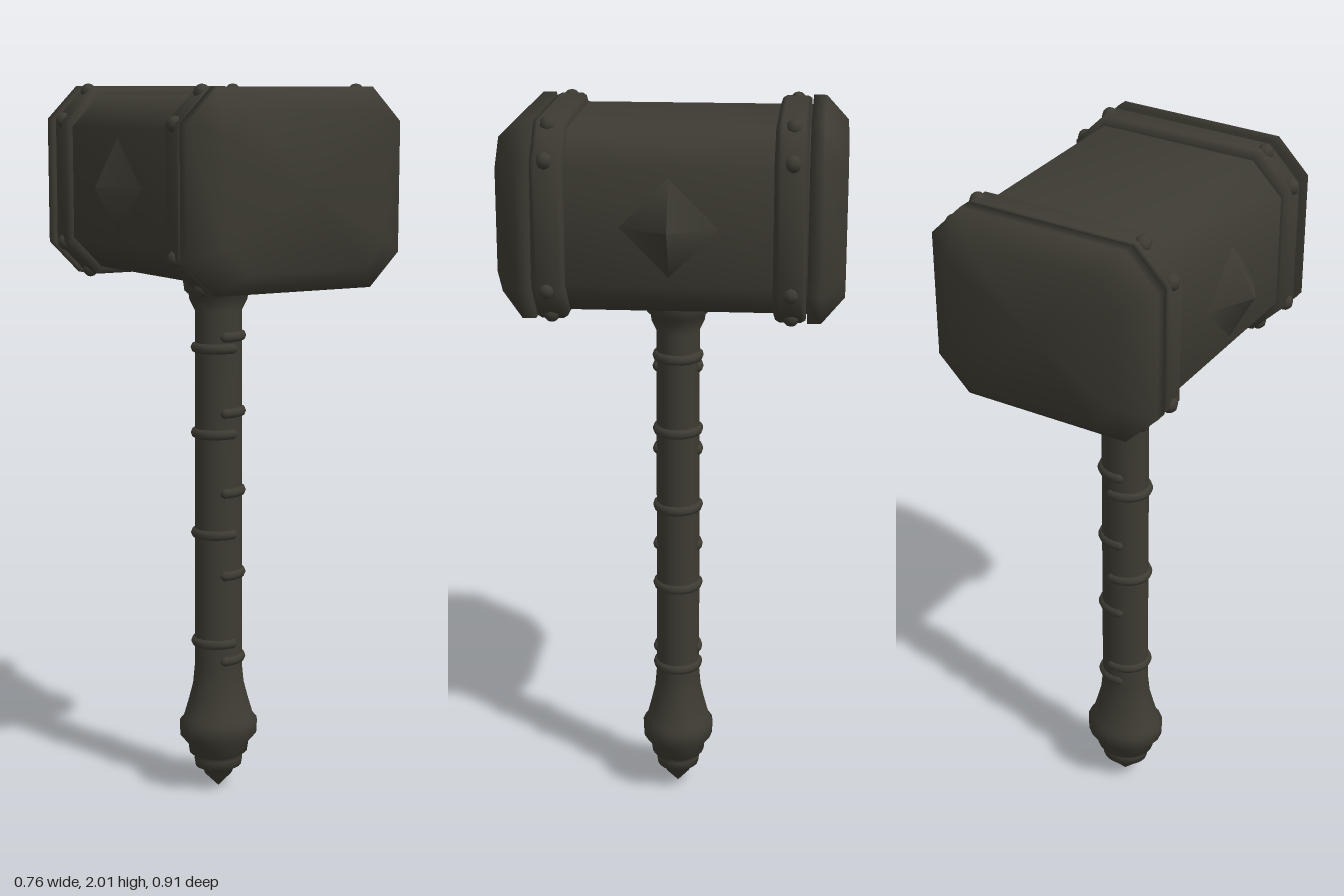
import * as THREE from 'three';

const HEAD_Y = 1.737;

// Chamfered-rectangle outline, counter-clockwise seen from +z
function outline(w, h, c) {
  return [[w, -h + c], [w, h - c], [w - c, h], [-w + c, h],
    [-w, h - c], [-w, -h + c], [-w + c, -h], [w - c, -h]];
}

// Smooth loft along z through sections [z, halfWidth, halfHeight, chamfer]
function loft(sections, closed) {
  const pos = [], idx = [], n = 8;
  for (const [z, w, h, c] of sections) for (const [x, y] of outline(w, h, c)) pos.push(x, y, z);
  for (let s = 0; s < sections.length - 1; s++) {
    for (let i = 0; i < n; i++) {
      const a = s * n + i, b = s * n + (i + 1) % n;
      idx.push(a, b, b + n, a, b + n, a + n);
    }
  }
  if (closed) {
    const last = (sections.length - 1) * n;
    pos.push(0, 0, sections[0][0], 0, 0, sections[sections.length - 1][0]);
    for (let i = 0; i < n; i++) {
      const j = (i + 1) % n;
      idx.push(last + n, j, i, last + n + 1, last + i, last + j);
    }
  }
  const g = new THREE.BufferGeometry();
  g.setAttribute('position', new THREE.Float32BufferAttribute(pos, 3));
  g.setIndex(idx);
  g.computeVertexNormals();
  return g;
}

export function createModel() {
  const iron = new THREE.MeshStandardMaterial({ color: 0x3d3b32 });
  iron.name = 'darkIron';
  const model = new THREE.Group();
  model.name = 'warHammer';

  const add = (parent, name, geometry, x = 0, y = 0, z = 0) => {
    const mesh = new THREE.Mesh(geometry, iron);
    mesh.name = name;
    mesh.position.set(x, y, z);
    parent.add(mesh);
    return mesh;
  };

  // Head
  const head = new THREE.Group();
  head.name = 'head';
  head.position.y = HEAD_Y;
  model.add(head);
  add(head, 'headCore', loft([[-0.37, 0.31, 0.238, 0.085], [0.37, 0.31, 0.238, 0.085]], false));

  // Striking end and riveted band, repeated front and back
  const capGeo = loft([[0.356, 0.325, 0.262, 0.09], [0.392, 0.325, 0.262, 0.09],
    [0.453, 0.245, 0.205, 0.07]], true);
  const bandGeo = loft([[0.266, 0.308, 0.236, 0.084], [0.272, 0.318, 0.254, 0.088],
    [0.283, 0.325, 0.26, 0.09], [0.34, 0.325, 0.26, 0.09], [0.352, 0.318, 0.254, 0.088]], true);
  const rivetGeo = new THREE.SphereGeometry(0.023, 8, 6);
  for (const side of [1, -1]) {
    const end = new THREE.Group();
    end.name = side > 0 ? 'frontEnd' : 'backEnd';
    if (side < 0) end.rotation.y = Math.PI;
    head.add(end);
    add(end, 'strikingCap', capGeo);
    add(end, 'band', bandGeo);
    for (const sx of [1, -1]) {
      for (const sy of [1, -1]) {
        add(end, 'rivet', rivetGeo, sx * 0.236, sy * 0.247, 0.314);
        add(end, 'rivet', rivetGeo, sx * 0.314, sy * 0.168, 0.314);
      }
    }
  }

  // Diamond stud on each side of the head
  const studGeo = new THREE.ConeGeometry(0.128, 0.068, 4);
  for (const side of [1, -1]) {
    const stud = add(head, side > 0 ? 'leftStud' : 'rightStud', studGeo, side * 0.346, 0, 0);
    stud.rotation.z = -side * Math.PI / 2;
  }

  // Handle with pommel and collar, slightly oval
  const profile = [[0, 0], [0.04, 0.04], [0.046, 0.055], [0.068, 0.066], [0.072, 0.09],
    [0.066, 0.1], [0.086, 0.108], [0.09, 0.135], [0.114, 0.162], [0.116, 0.2],
    [0.103, 0.215], [0.088, 0.265], [0.076, 0.31], [0.07, 0.37], [0.068, 1.39],
    [0.084, 1.42], [0.086, 1.435], [0.098, 1.445], [0.102, 1.47], [0.1, 1.51]]
    .map(([r, y]) => new THREE.Vector2(r, y));
  const handle = new THREE.Group();
  handle.name = 'handle';
  handle.scale.z = 0.88;
  model.add(handle);
  add(handle, 'shaft', new THREE.LatheGeometry(profile, 20));

  // Half rings wrapped alternately around the left and right of the shaft
  const tube = 0.015, ringR = 0.065, half = 1.75;
  const arcGeo = new THREE.TorusGeometry(ringR, tube, 8, 20, half * 2);
  arcGeo.rotateZ(-half).rotateX(Math.PI / 2);
  const tipGeo = new THREE.SphereGeometry(tube, 8, 6);
  const wrap = (y, turn) => {
    const ring = new THREE.Group();
    ring.name = 'gripRing';
    ring.position.y = y;
    ring.rotation.y = turn;
    handle.add(ring);
    add(ring, 'ringArc', arcGeo);
    for (const s of [1, -1]) {
      add(ring, 'ringTip', tipGeo, ringR * Math.cos(half), 0, s * ringR * Math.sin(half));
    }
  };
  for (const y of [0.39, 0.64, 0.878, 1.105, 1.318]) wrap(y, 0);
  for (const y of [0.44, 0.758, 1.045, 1.286]) wrap(y, Math.PI);

  return model;
}
